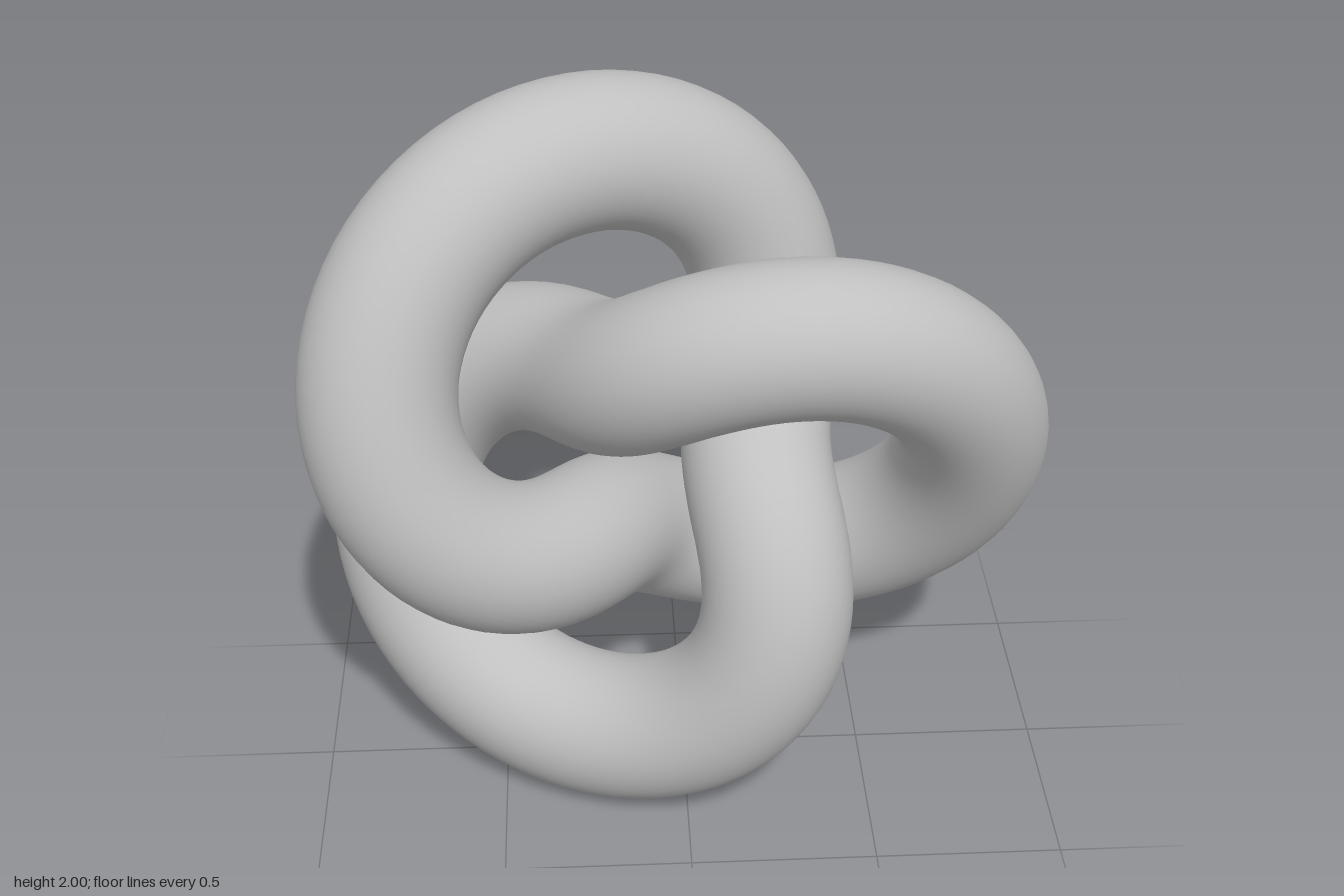
import * as THREE from 'three';

export function createModel() {
  const group = new THREE.Group();
  group.name = 'knotSculpture';

  const grey = new THREE.MeshStandardMaterial({ color: 0xc0c0c0 });
  grey.name = 'plain grey';

  // One closed tube winding into a three-lobed knot
  const radius = 0.567;
  const tube = 0.198;
  const knot = new THREE.Mesh(new THREE.TorusKnotGeometry(radius, tube, 256, 40, 2, 3), grey);
  knot.name = 'trefoilTube';

  // One lobe points to +x, so shift the knot to centre its bounds
  knot.position.set(-0.09, 1, 0);
  group.add(knot);
  return group;
}
